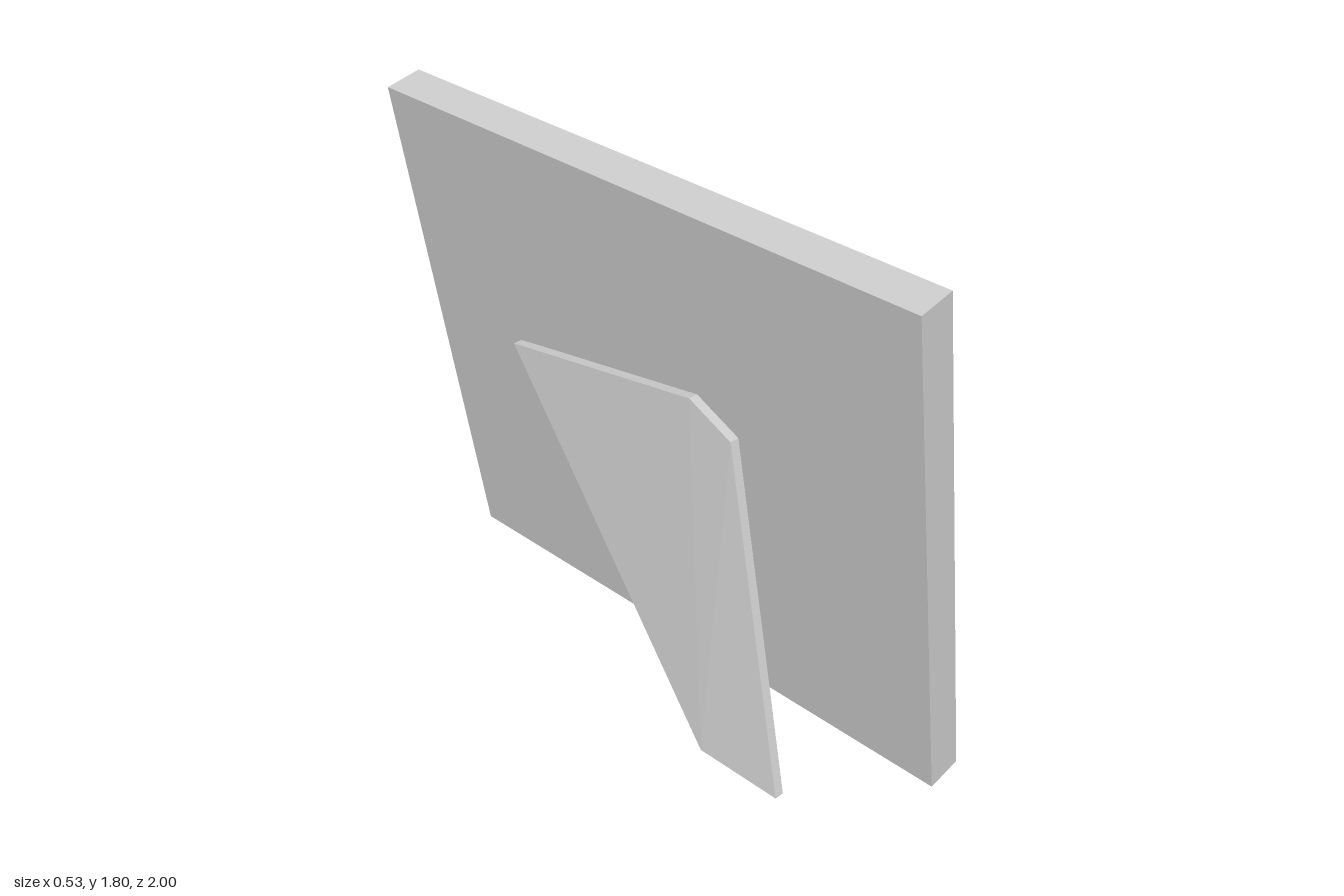
import * as THREE from 'three';
import { ConvexGeometry } from 'three/addons/geometries/ConvexGeometry.js';

const HALF_W = 0.995, HALF_H = 0.8925, DEPTH = 0.124;

// Flat-shaded skin through nested rectangles [side inset, top/bottom inset, z]
function rectangleLoft(profile) {
  const rings = profile.map(([ix, iy, z]) => {
    const w = HALF_W - ix, h = HALF_H - iy;
    return [[-w, -h, z], [w, -h, z], [w, h, z], [-w, h, z]];
  });
  const pos = [];
  for (let r = 0; r + 1 < rings.length; r++) {
    const a = rings[r], b = rings[r + 1];
    for (let i = 0; i < 4; i++) {
      const j = (i + 1) % 4;
      for (const p of [a[i], a[j], b[j], a[i], b[j], b[i]]) pos.push(...p);
    }
  }
  const geo = new THREE.BufferGeometry();
  geo.setAttribute('position', new THREE.Float32BufferAttribute(pos, 3));
  geo.computeVertexNormals();
  return geo;
}

export function createModel() {
  const model = new THREE.Group();
  model.name = 'pictureFrame';
  const material = new THREE.MeshStandardMaterial({ color: 0xcccccc });
  const add = (parent, name, geo) => {
    const mesh = new THREE.Mesh(geo, material);
    mesh.name = name;
    parent.add(mesh);
    return mesh;
  };

  // Leaning frame, built facing local +z with its front face at z = 0
  const frame = new THREE.Group();
  frame.name = 'leaningFrame';
  model.add(frame);

  // Moulding: outer side, border, groove, flat, bevel, ledge, step to picture
  add(frame, 'moulding', rectangleLoft([
    [0, 0, -DEPTH],
    [0, 0, 0],
    [0.06, 0.081, 0],
    [0.06, 0.081, -0.035],
    [0.075, 0.101, -0.035],
    [0.075, 0.101, 0],
    [0.125, 0.178, 0],
    [0.157, 0.222, -0.033],
    [0.19, 0.263, -0.033],
    [0.19, 0.263, -0.067],
  ]));

  // Recessed picture and the flat back
  add(frame, 'picturePanel', new THREE.PlaneGeometry(2 * (HALF_W - 0.19), 2 * (HALF_H - 0.263)))
    .position.z = -0.067;
  add(frame, 'backPanel', new THREE.PlaneGeometry(2 * HALF_W, 2 * HALF_H).rotateY(Math.PI))
    .position.z = -DEPTH;

  // Turn the frame to face +x, leaning back and slightly twisted
  const up = new THREE.Vector3(-0.148, 0.989, 0.002).normalize();
  const right = new THREE.Vector3(-0.07, -0.008, -0.9975);
  const normal = right.clone().cross(up).normalize();
  right.crossVectors(up, normal);
  frame.quaternion.setFromRotationMatrix(new THREE.Matrix4().makeBasis(right, up, normal));
  frame.position.set(0.0625, 0.9065, -0.004);

  // Thin five-cornered support behind the frame
  const corners = [
    [-0.125, 1.155, 0.2], [-0.125, 1.09, 0.37], [-0.24, 0.015, 0.71],
    [-0.265, 0.015, 0.41], [-0.147, 0.99, -0.585],
  ];
  const points = corners.flatMap(([x, y, z]) =>
    [new THREE.Vector3(x, y, z), new THREE.Vector3(x + 0.031, y, z)]);
  add(model, 'easelStand', new ConvexGeometry(points));

  return model;
}
